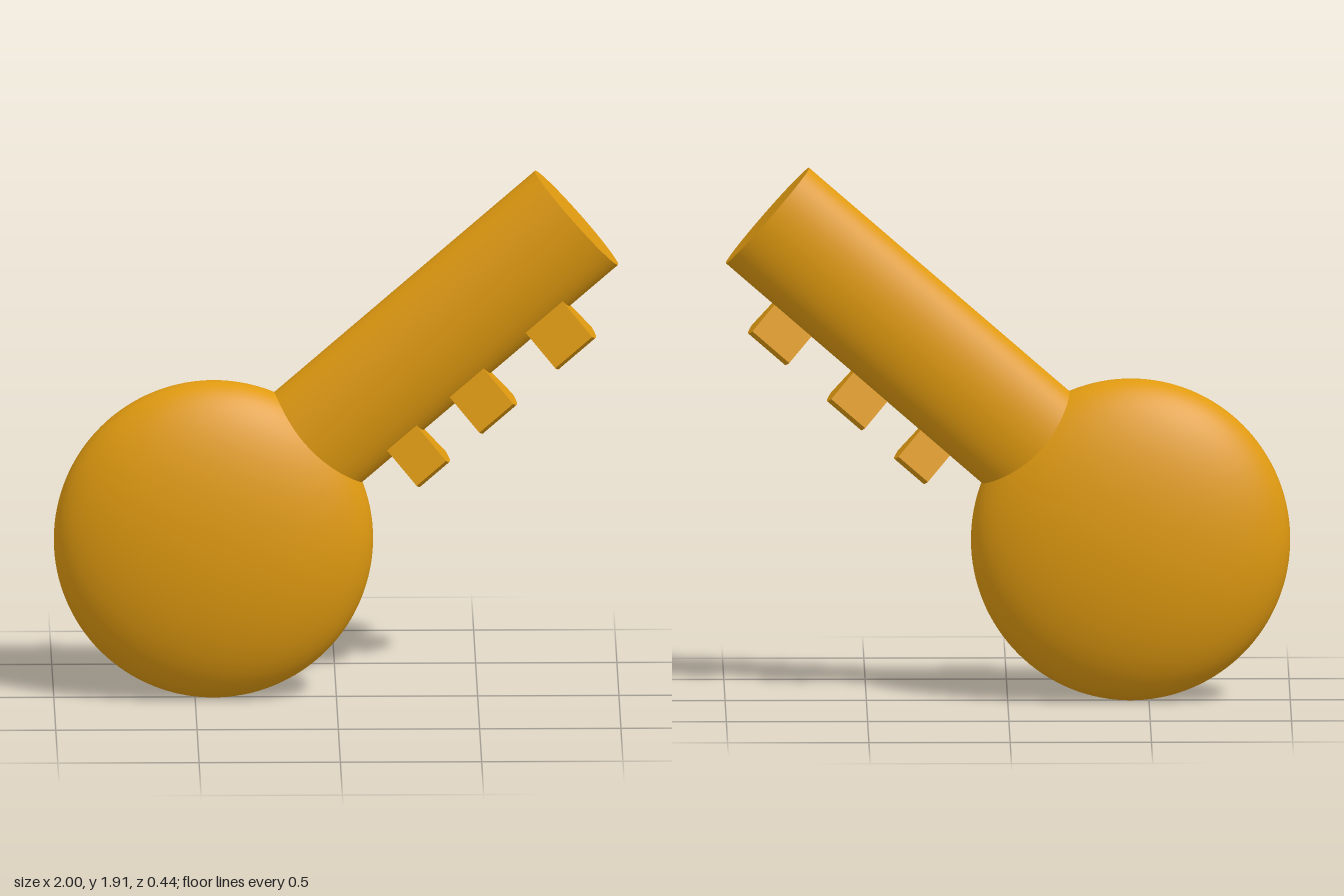
import * as THREE from 'three';

export function createModel() {
  const model = new THREE.Group();
  const material = new THREE.MeshStandardMaterial({ color: 0xe09a10 });
  const add = (parent, name, geometry) => {
    const mesh = new THREE.Mesh(geometry, material);
    mesh.name = name;
    parent.add(mesh);
    return mesh;
  };

  // Flattened round bow (handle)
  const bow = add(model, 'bow', new THREE.SphereGeometry(1, 96, 64));
  bow.scale.set(0.565, 0.575, 0.22);
  bow.position.set(-0.435, 0.575, 0);

  // Tilted frame: origin at the shaft tip, local x along the shaft
  const blade = new THREE.Group();
  blade.name = 'blade';
  blade.position.set(0.85, 1.737, -0.007);
  blade.rotation.z = THREE.MathUtils.degToRad(41);
  model.add(blade);

  // Oval shaft, its root buried in the bow
  const length = 1.5;
  const shaftGeometry = new THREE.CylinderGeometry(1, 1, length, 96);
  shaftGeometry.rotateZ(-Math.PI / 2);
  shaftGeometry.scale(1, 0.225, 0.12);
  shaftGeometry.translate(-length / 2, 0, 0);
  add(blade, 'shaft', shaftGeometry);

  // Flared teeth with a rounded outer face, extruded along the shaft
  const profile = new THREE.Shape();
  profile.moveTo(0.028, -0.15);
  profile.lineTo(-0.028, -0.15);
  profile.lineTo(-0.078, -0.343);
  profile.quadraticCurveTo(0, -0.389, 0.078, -0.343);
  profile.closePath();

  const teeth = [[-1.05, -0.912], [-0.756, -0.597], [-0.4, -0.227]];
  teeth.forEach(([start, end], i) => {
    const geometry = new THREE.ExtrudeGeometry(profile, {
      depth: end - start, bevelEnabled: false, curveSegments: 20,
    });
    geometry.rotateY(Math.PI / 2);
    const tooth = add(blade, `tooth${i + 1}`, geometry);
    tooth.position.set(start, 0, 0.032);
  });

  return model;
}
